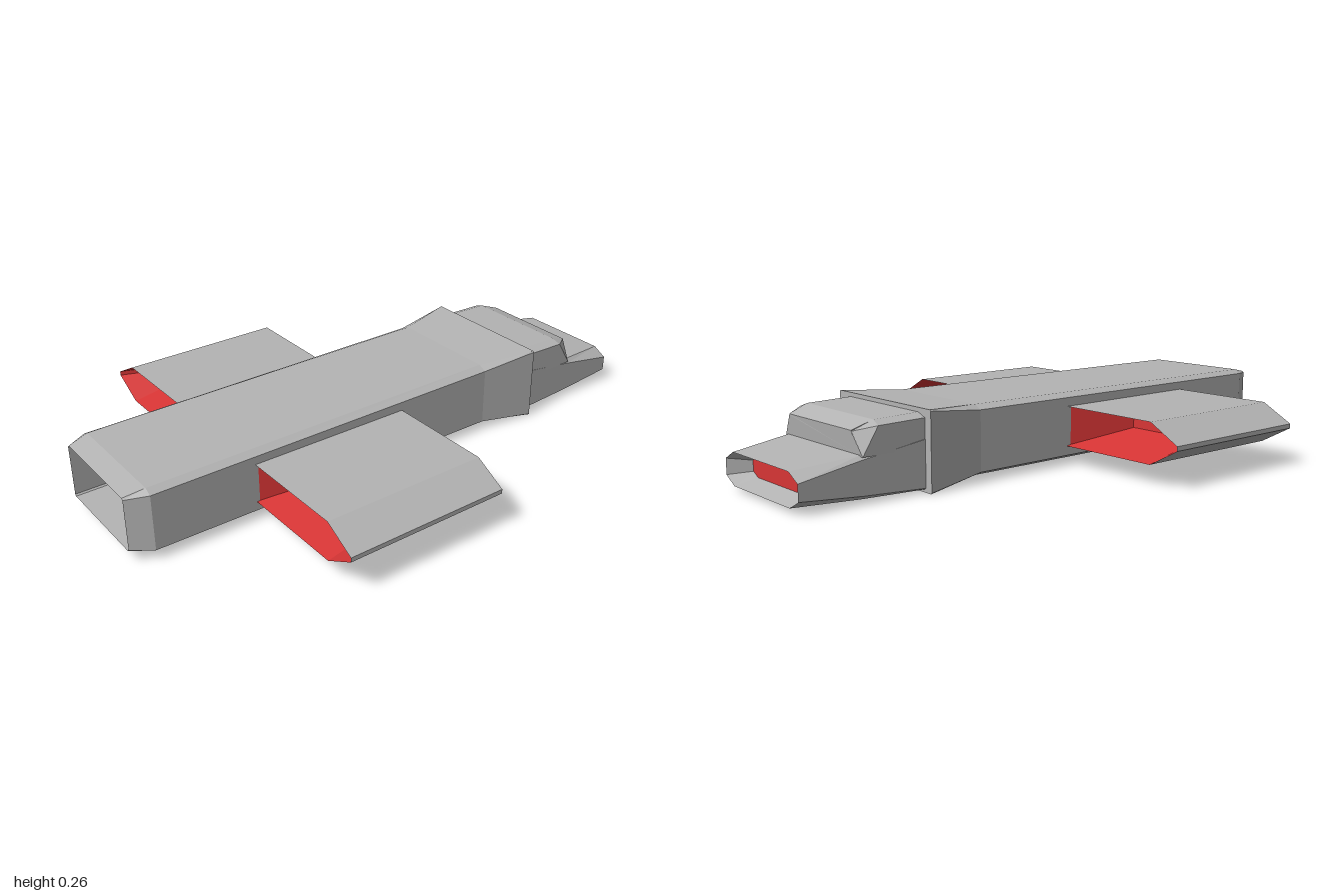
import * as THREE from 'three';

const grey = new THREE.MeshStandardMaterial({ color: 0xb4b4b4 });
grey.name = 'hull grey';
const red = new THREE.MeshStandardMaterial({ color: 0xd83535 });
red.name = 'vent red';

// Skin between rings that run counter-clockwise seen from the front.
// Rings going back in z face outward, rings going forward face inward.
function loft(name, material, rings, capStart = false, capEnd = false) {
  const pos = [];
  const tri = (a, b, c) => pos.push(...a, ...b, ...c);
  for (let i = 0; i + 1 < rings.length; i++) {
    const f = rings[i], b = rings[i + 1], n = f.length;
    for (let j = 0; j < n; j++) {
      const k = (j + 1) % n;
      tri(f[j], b[j], b[k]);
      tri(f[j], b[k], f[k]);
    }
  }
  const s = rings[0], e = rings[rings.length - 1];
  for (let j = 1; j + 1 < s.length; j++) {
    if (capStart) tri(s[0], s[j], s[j + 1]);
    if (capEnd) tri(e[0], e[j + 1], e[j]);
  }
  const g = new THREE.BufferGeometry();
  g.setAttribute('position', new THREE.Float32BufferAttribute(pos, 3));
  g.computeVertexNormals();
  const mesh = new THREE.Mesh(g, material);
  mesh.name = name;
  return mesh;
}

// Chamfered rectangle: half width, bottom, top, chamfer sizes
function oct(z, w, y0, y1, cx, cy) {
  return [
    [-w + cx, y0, z], [w - cx, y0, z], [w, y0 + cy, z], [w, y1 - cy, z],
    [w - cx, y1, z], [-w + cx, y1, z], [-w, y1 - cy, z], [-w, y0 + cy, z],
  ];
}

// Wing cross-section, side = 1 for left and -1 for right
function wingRing(side, z, x0, x1, x2, y0, y1, y2, y3) {
  const pts = [[x0, y0], [x1, y0], [x2, y1], [x2, y2], [x1, y3], [x0, y3]]
    .map(([x, y]) => [side * x, y, z]);
  return side > 0 ? pts : pts.reverse();
}

function createWing(side) {
  const wing = new THREE.Group();
  wing.name = side > 0 ? 'leftWing' : 'rightWing';
  const outer = z => wingRing(side, z, 0.22, 0.6, 0.71, 0.065, 0.125, 0.14, 0.2);
  const inner = z => wingRing(side, z, 0.305, 0.59, 0.62, 0.11, 0.125, 0.14, 0.155);
  wing.add(
    loft('wingShell', grey, [outer(0.58), outer(0.01)]),
    loft('frontFunnel', red, [inner(0.34), outer(0.58)], true, false),
    loft('rearFunnel', red, [outer(0.01), inner(0.25)], false, true),
  );
  return wing;
}

export function createModel() {
  const model = new THREE.Group();
  model.name = 'spacecraft';

  // Main body with a deep front opening and a flared rear collar
  model.add(loft('mainBody', grey, [
    oct(0.4, 0.18, 0.045, 0.22, 0.005, 0.005),
    oct(1, 0.187, 0.04, 0.225, 0.005, 0.005),
    oct(0.93, 0.222, 0.022, 0.24, 0.025, 0.014),
    oct(-0.36, 0.228, 0.018, 0.245, 0.03, 0.014),
    oct(-0.57, 0.254, 0, 0.258, 0.004, 0.004),
  ], true, true));

  // Tail with a shallow recess at the back
  const recess = oct(-0.93, 0.18, 0.035, 0.1, 0.03, 0.015);
  model.add(loft('tail', grey, [
    oct(-0.565, 0.225, 0.01, 0.17, 0.005, 0.004),
    oct(-0.79, 0.223, 0.014, 0.145, 0.015, 0.012),
    oct(-1, 0.22, 0.016, 0.122, 0.05, 0.027),
    recess,
  ]));
  model.add(loft('tailVent', red, [recess], false, true));

  // Raised block over the tail, with cut rear corners and a sloping rear lip
  const w = 0.224, lipX = 0.18;
  const shoulder = [
    [-w, 0.14, -0.79], [w, 0.14, -0.79], [w, 0.14, -0.79], [w, 0.227, -0.735],
    [0.19, 0.24, -0.73], [-0.19, 0.24, -0.73], [-w, 0.227, -0.735], [-w, 0.14, -0.79],
  ];
  const lip = [
    [-w, 0.14, -0.79], [w, 0.14, -0.79], [w, 0.14, -0.79], [lipX, 0.212, -0.8],
    [lipX, 0.215, -0.8], [-lipX, 0.215, -0.8], [-lipX, 0.212, -0.8], [-w, 0.14, -0.79],
  ];
  const front = shoulder.map(([x, y]) => [x, y > 0.2 ? y + 0.004 : y, -0.565]);
  model.add(loft('tailBlock', grey, [front, shoulder, lip], false, true));

  // Wings
  model.add(createWing(1), createWing(-1));
  return model;
}
